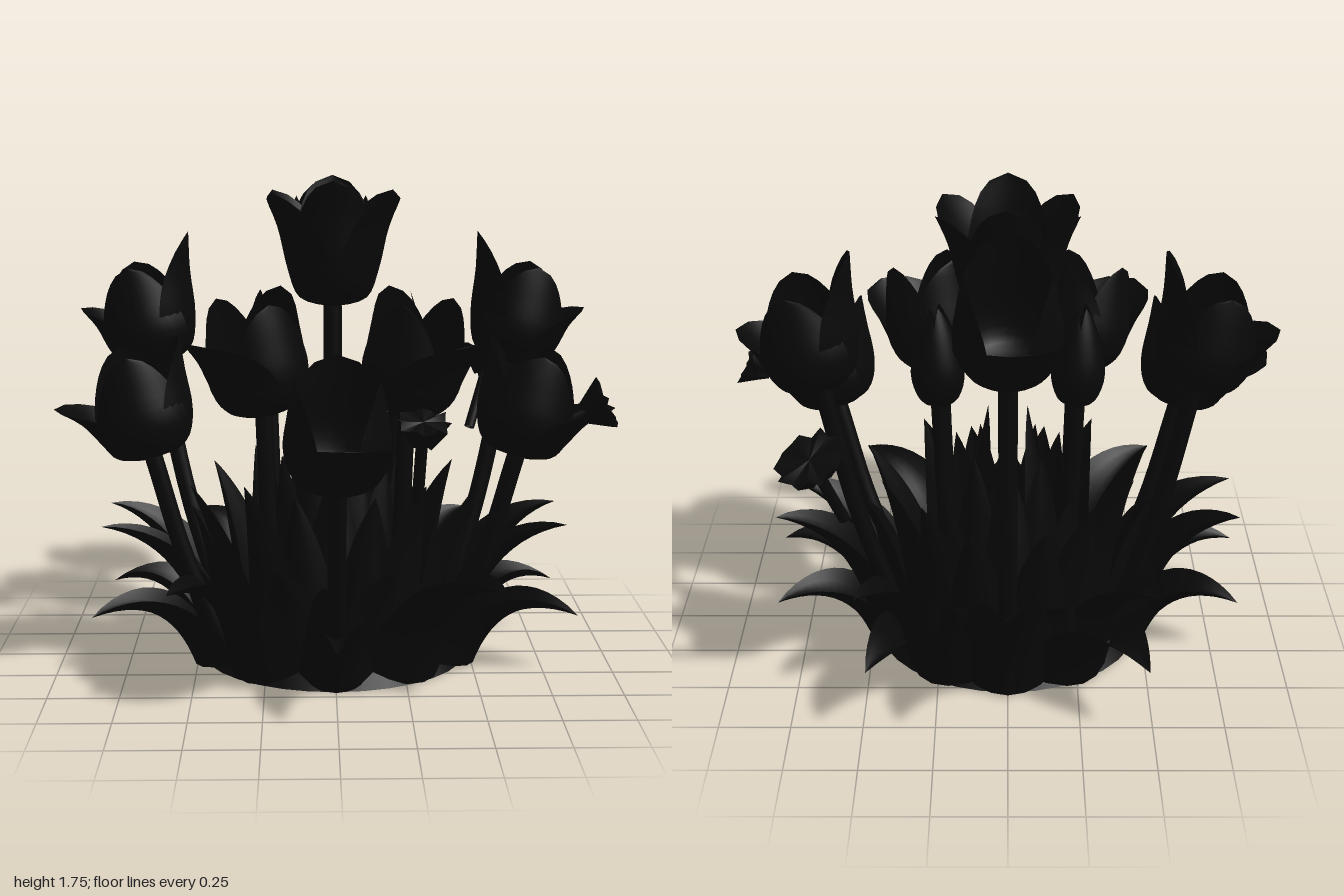
import * as THREE from 'three';

const material = new THREE.MeshStandardMaterial({ color: 0x080808, side: THREE.DoubleSide });

function addMesh(parent, name, geometry) {
  const mesh = new THREE.Mesh(geometry, material);
  mesh.name = name;
  parent.add(mesh);
  return mesh;
}

// Bends a grid with a rule: u runs -1..1 across, v runs 0..1 along
function surface(nu, nv, rule) {
  const geometry = new THREE.PlaneGeometry(2, 1, nu, nv);
  const pos = geometry.attributes.position;
  for (let i = 0; i < pos.count; i++) {
    const p = rule(pos.getX(i), pos.getY(i) + 0.5);
    pos.setXYZ(i, p.x, p.y, p.z);
  }
  geometry.computeVertexNormals();
  return geometry;
}

// One cupped petal around the y axis, facing the given angle
function petalGeometry(angle, radius, height, tipRadius, spread) {
  const flare = tipRadius - radius;
  const profile = new THREE.SplineCurve([
    [0.02, 0], [radius * 0.74, height * 0.08], [radius, height * 0.34],
    [radius + flare * 0.4, height * 0.7], [tipRadius, height],
  ].map(([r, y]) => new THREE.Vector2(r, y)));
  return surface(12, 16, (u, v) => {
    const p = profile.getPoint(v);
    const k = Math.max(0, (v - 0.42) / 0.58);
    const a = angle + u * spread * Math.pow(Math.max(0, 1 - k * k), 0.7);
    return new THREE.Vector3(p.x * Math.cos(a), p.y, p.x * Math.sin(a));
  });
}

// Stem bowed outward by a factor at its middle
function addStem(parent, from, to, radius, bow) {
  const mid = from.clone().lerp(to, 0.5);
  mid.x *= bow;
  mid.z *= bow;
  const curve = new THREE.CatmullRomCurve3([from, mid, to]);
  addMesh(parent, 'stem', new THREE.TubeGeometry(curve, 12, radius, 10));
}

// Flower: petals are [angle in degrees, radius, height, tip radius, spread], local +x is the drooping side
function addFlower(parent, name, f) {
  const group = new THREE.Group();
  group.name = name;
  const base = new THREE.Vector3(f.x, f.y, f.z);
  addStem(group, new THREE.Vector3(f.x * f.foot, 0.02, f.z * f.foot), base, 0.032, 1.05);
  const head = new THREE.Group();
  head.name = name + 'Head';
  head.position.copy(base);
  head.rotation.set(0, -f.azimuth, -f.tilt, 'YXZ');
  f.petals.forEach(([deg, ...shape]) => addMesh(head, 'petal',
    petalGeometry(deg * Math.PI / 180, ...shape)));
  group.add(head);
  parent.add(group);
}

// Nodding bloom: low spreading petal, tall back petal and rounded sides
const openPetals = (outer, outerTip, inner, side, innerTip = 0.18) => [
  [0, 0.168, outer, outerTip, 1.3], [80, 0.178, side, 0.14, 1.1],
  [180, 0.172, inner, innerTip, 1.3], [280, 0.178, side, 0.14, 1.1],
];
const sixPetals = (rule) => [0, 60, 120, 180, 240, 300].map((deg, i) => [deg, ...rule(i)]);

// Leaf: an arching spine from its foot to the tip, folded along the middle
function addLeaf(parent, [x, z, y, foot, arch, width], centreZ) {
  const dz = z - centreZ;
  const tipR = Math.hypot(x, dz), az = Math.atan2(dz, x);
  const run = tipR - foot;
  const spine = new THREE.CubicBezierCurve(
    new THREE.Vector2(foot, 0),
    new THREE.Vector2(foot + run * 0.12 + 0.02, y * arch * 0.65),
    new THREE.Vector2(foot + run * 0.45, y * arch),
    new THREE.Vector2(tipR, y));
  addMesh(parent, 'leaf', surface(6, 14, (u, v) => {
    const p = spine.getPoint(v), t = spine.getTangent(v);
    const half = width * Math.pow(1 - v, 0.9) * (1 + 0.6 * v);
    const fold = 0.65 * half * u * u;
    const r = p.x - t.y * fold, h = Math.max(0, p.y + t.x * fold);
    const s = u * half;
    return new THREE.Vector3(
      r * Math.cos(az) - s * Math.sin(az), h,
      centreZ + r * Math.sin(az) + s * Math.cos(az));
  }));
}

// Small ragged, withered bloom on a short broken stalk
function addWithered(parent, from, to, radius) {
  const group = new THREE.Group();
  group.name = 'witheredBloom';
  const a = new THREE.Vector3(...from), b = new THREE.Vector3(...to);
  addStem(group, a, b, 0.02, 1);
  const geometry = new THREE.CylinderGeometry(radius, radius * 0.4, 0.08, 20, 2);
  const pos = geometry.attributes.position;
  for (let i = 0; i < pos.count; i++) {
    const step = Math.round(Math.atan2(pos.getZ(i), pos.getX(i)) / (Math.PI / 10));
    const k = step % 2 ? 0.92 : 1.1;
    const rim = Math.hypot(pos.getX(i), pos.getZ(i)) > radius * 0.2 ? 1 : 0;
    pos.setXYZ(i, pos.getX(i) * k, pos.getY(i) + rim * 0.012 * Math.sin(step * 2.3), pos.getZ(i) * k);
  }
  geometry.computeVertexNormals();
  const head = addMesh(group, 'witheredHead', geometry);
  head.position.copy(b);
  head.quaternion.setFromUnitVectors(new THREE.Vector3(0, 1, 0), b.clone().sub(a).normalize());
  parent.add(group);
}

export function createModel() {
  const model = new THREE.Group();
  model.name = 'flowerClump';

  // Flat base hidden among the leaf feet
  const base = addMesh(model, 'base', new THREE.CylinderGeometry(0.44, 0.49, 0.06, 32));
  base.position.set(0, 0.03, -0.04);

  // Flowers on the centre line
  addFlower(model, 'centreFlower', {
    x: 0, y: 1.28, z: -0.18, foot: 1, azimuth: Math.PI / 2, tilt: 0,
    petals: sixPetals((i) => (i % 3 ? [0.17, 0.42, 0.26, 0.95] : [0.175, 0.47, 0.215, 0.95])),
  });
  addFlower(model, 'backFlower', {
    x: 0, y: 1.28, z: -0.64, foot: 0.84, azimuth: -Math.PI / 2, tilt: 0.25,
    petals: openPetals(0.27, 0.27, 0.42, 0.39),
  });
  addFlower(model, 'frontFlower', {
    x: 0, y: 0.78, z: 0.67, foot: 0.6, azimuth: Math.PI / 2, tilt: 0.2,
    petals: openPetals(0.24, 0.27, 0.4, 0.38),
  });

  // Mirrored flowers and buds
  for (const s of [1, -1]) {
    const az = (a) => (s > 0 ? a : Math.PI - a);
    addFlower(model, 'sideFrontFlower', {
      x: s * 0.64, y: 0.8, z: 0.23, foot: 0.58, azimuth: az(0.18), tilt: 0.2,
      petals: openPetals(0.24, 0.3, 0.4, 0.38),
    });
    addFlower(model, 'sideBackFlower', {
      x: s * 0.65, y: 1.06, z: -0.22, foot: 0.58, azimuth: az(0), tilt: 0.2,
      petals: openPetals(0.26, 0.24, 0.46, 0.38, 0.21),
    });
    addFlower(model, 'innerFlower', {
      x: s * 0.25, y: 0.95, z: 0.22, foot: 0.78, azimuth: az(0.75), tilt: 0.18,
      petals: openPetals(0.32, 0.26, 0.42, 0.41, 0.16),
    });
    addFlower(model, 'bud', {
      x: s * 0.24, y: 0.97, z: -0.18, foot: 0.75, azimuth: 0, tilt: s * 0.04,
      petals: sixPetals((i) => [0.095 - (i % 2) * 0.006, 0.37 - (i % 2) * 0.02, 0.03, 0.9]),
    });
  }

  // Leaves: tip x, tip z, tip height, foot radius, arch, half width
  const outerLeaves = [
    [0.87, 0.24, 0.21, 0.53, 1.3, 0.17], [0.84, -0.2, 0.53, 0.5, 0.9, 0.18],
    [0.57, 0.66, 0.41, 0.49, 1, 0.19], [0.48, -0.81, 0.26, 0.52, 1.25, 0.19],
    [0.53, -0.6, 0.42, 0.46, 0.95, 0.17], [0.84, 0.14, 0.52, 0.46, 0.9, 0.17],
    [0.84, -0.26, 0.21, 0.52, 1.3, 0.16], [0.2, -0.56, 0.36, 0.48, 0.85, 0.15],
    [0, 0.85, 0.26, 0.49, 1.2, 0.13], [0, -0.95, 0.54, 0.52, 0.85, 0.18],
    [0, 0.62, 0.4, 0.42, 0.95, 0.12],
  ];
  const middleLeaves = [
    [0.52, 0.12, 0.67, 0.38, 0.7, 0.14], [0.45, -0.22, 0.69, 0.36, 0.7, 0.15],
    [0.32, 0.29, 0.7, 0.36, 0.7, 0.15], [0.3, -0.45, 0.7, 0.42, 0.7, 0.15],
    [0.53, -0.08, 0.55, 0.43, 0.75, 0.14], [0.13, -0.54, 0.64, 0.45, 0.7, 0.14],
    [0.14, 0.31, 0.66, 0.34, 0.7, 0.14], [0.2, 0.42, 0.42, 0.4, 0.8, 0.14],
  ];
  const coreLeaves = [
    [0.07, -0.12, 0.94, 0.18, 0.7, 0.16], [0.24, -0.1, 0.78, 0.26, 0.7, 0.15],
    [0.19, 0.04, 0.76, 0.27, 0.7, 0.15], [0.12, -0.26, 0.8, 0.25, 0.7, 0.15],
    [0.22, -0.32, 0.66, 0.32, 0.7, 0.15], [0.1, -0.02, 0.82, 0.2, 0.7, 0.15],
    [0, 0.08, 0.72, 0.28, 0.7, 0.15], [0, -0.28, 0.78, 0.28, 0.7, 0.15],
  ];
  const foliage = new THREE.Group();
  foliage.name = 'foliage';
  model.add(foliage);
  const plant = (list, centreZ) => list.forEach(([x, ...rest]) => {
    for (const s of x ? [1, -1] : [1]) addLeaf(foliage, [s * x, ...rest], centreZ);
  });
  plant(outerLeaves, -0.03);
  plant(middleLeaves, -0.03);
  plant(coreLeaves, -0.11);

  // Withered blooms
  addWithered(model, [0.55, 0.74, -0.61], [0.63, 0.98, -0.71], 0.115);
  addWithered(model, [0.27, 0.71, 0.58], [0.28, 0.96, 0.66], 0.085);
  addWithered(model, [0.72, 0.86, 0.2], [0.92, 0.96, 0.2], 0.09);

  return model;
}
